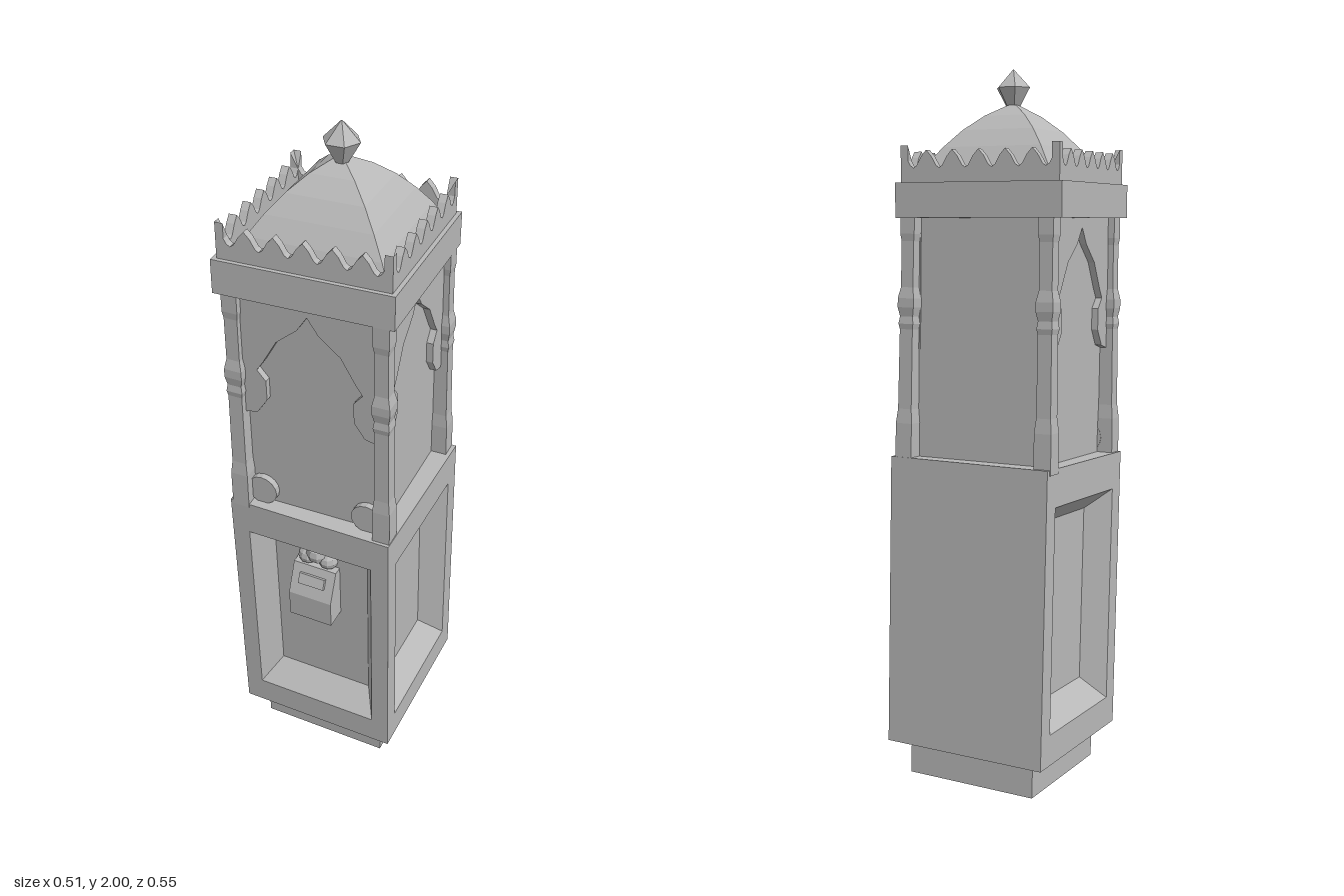
import * as THREE from 'three';

const stone = new THREE.MeshStandardMaterial({ color: 0xb8b8b8 });
stone.name = 'grey stone';

const points = list => list.map(p => new THREE.Vector2(...p));

// Faceted mesh with hard edges
function part(parent, name, geo, x = 0, y = 0, z = 0) {
  const flat = geo.index ? geo.toNonIndexed() : geo;
  flat.computeVertexNormals();
  const mesh = new THREE.Mesh(flat, stone);
  mesh.name = name;
  mesh.position.set(x, y, z);
  parent.add(mesh);
  return mesh;
}

function group(parent, name, x = 0, y = 0, z = 0) {
  const g = new THREE.Group();
  g.name = name;
  g.position.set(x, y, z);
  parent.add(g);
  return g;
}

// Skin between loops of points; the last loop (a quad) can be capped
function loft(loops, cap = false) {
  const pos = [];
  const quad = (a, b, c, d) => pos.push(...a, ...b, ...c, ...a, ...c, ...d);
  for (let k = 0; k + 1 < loops.length; k++) {
    const A = loops[k], B = loops[k + 1], n = A.length;
    for (let i = 0; i < n; i++) {
      const j = (i + 1) % n;
      quad(A[i], A[j], B[j], B[i]);
    }
  }
  if (cap) quad(...loops[loops.length - 1]);
  const geo = new THREE.BufferGeometry();
  geo.setAttribute('position', new THREE.Float32BufferAttribute(pos, 3));
  return geo;
}

// Square cross-section of half width r at height y
const squareRing = ([r, y]) => [[-r, y, r], [r, y, r], [r, y, -r], [-r, y, -r]];

function extrude(shape, depth) {
  return new THREE.ExtrudeGeometry(shape, { depth, bevelEnabled: false, curveSegments: 8 });
}

// Side of the cabinet: frame, sloping reveal and sunken panel
function panelledSide(half) {
  const rect = (w, y0, y1, z) => [[-w, y0, z], [w, y0, z], [w, y1, z], [-w, y1, z]];
  return loft([
    rect(half, 0.1, 0.92, half),
    rect(0.19, 0.187, 0.815, half),
    rect(0.147, 0.25, 0.758, half - 0.07),
  ], true);
}

function lowerCabinet(root) {
  const g = group(root, 'lowerCabinet', 0.01, 0.0085, -0.036);
  g.rotation.x = 0.043;
  const h = 0.243;
  part(g, 'plinth', new THREE.BoxGeometry(0.39, 0.12, 0.39), 0, 0.06, 0);
  for (const [name, turn] of [['frontPanel', 0], ['leftPanel', 1], ['rightPanel', -1]]) {
    part(g, name, panelledSide(h)).rotation.y = turn * Math.PI / 2;
  }
  const back = part(g, 'backBoard', new THREE.PlaneGeometry(2 * h, 0.82), 0, 0.51, -h);
  back.rotation.y = Math.PI;
  part(g, 'cabinetTop', new THREE.PlaneGeometry(2 * h, 2 * h), 0, 0.92, 0).rotation.x = -Math.PI / 2;
  part(g, 'cabinetUnderside', new THREE.PlaneGeometry(2 * h, 2 * h), 0, 0.1, 0).rotation.x = Math.PI / 2;

  // Coin box with a sloping top
  const box = group(g, 'coinBox', -0.008, 0, h - 0.07);
  const side = new THREE.Shape(points([[0, 0.535], [0, 0.71], [-0.025, 0.71], [-0.065, 0.62], [-0.065, 0.535]]));
  part(box, 'coinBoxBody', extrude(side, 0.134), -0.067, 0, 0).rotation.y = Math.PI / 2;
  const slot = part(box, 'slotPlate', new THREE.BoxGeometry(0.08, 0.032, 0.018), 0, 0.672, 0.044);
  slot.rotation.x = -Math.atan2(0.04, 0.09);
  // Shell crest above the box
  for (const [x, y, r] of [[-0.032, 0.732, 0.03], [0.032, 0.732, 0.03], [0, 0.75, 0.036]]) {
    part(box, 'shellLobe', new THREE.SphereGeometry(r, 10, 6), x, y, 0);
  }
}

// Pointed arch with cusps, spanning between two posts
function archShape() {
  const half = [[0.03, 0.6], [0.09, 0.55], [0.13, 0.48], [0.15, 0.45], [0.125, 0.42],
    [0.125, 0.36], [0.155, 0.315], [0.195, 0.305], [0.195, 0.68]];
  const left = half.map(([x, y]) => [-x, y]).reverse();
  return new THREE.Shape(points([...left, [0, 0.645], ...half]));
}

function upperStage(root) {
  const g = group(root, 'upperStage', 0.008, 0.925, 0.005);
  g.rotation.set(0.032, 0.025, 0);
  part(g, 'innerCore', new THREE.BoxGeometry(0.384, 0.69, 0.384), 0, 0.34, 0);

  // Square moulded corner posts: [half width, height]
  const post = [[0.025, -0.01], [0.025, 0.1], [0.021, 0.14], [0.02, 0.36], [0.023, 0.375], [0.02, 0.395],
    [0.025, 0.42], [0.025, 0.445], [0.019, 0.475], [0.019, 0.6], [0.022, 0.62], [0.022, 0.69]];
  for (const sx of [-1, 1]) for (const sz of [-1, 1]) {
    const mesh = part(g, 'cornerPost', loft(post.map(squareRing)), sx * 0.213, 0, sz * 0.213);
    mesh.rotation.set(-sz * 0.008, 0, sx * 0.008);
  }

  // Arches on the front and both flanks
  for (const turn of [0, 1, -1]) {
    const arch = part(g, 'arch', extrude(archShape(), 0.025));
    arch.rotation.y = turn * Math.PI / 2;
    arch.position.set(turn * 0.186, 0, turn ? 0 : 0.186);
  }
  // Round lobes at the feet of the front arch
  for (const s of [-1, 1]) {
    const disc = new THREE.Shape().absarc(0, 0, 0.045, 0, Math.PI * 2);
    part(g, 'footLobe', extrude(disc, 0.025), s * 0.158, 0.042, 0.186);
  }
}

// Row of pointed leaves that meet at the corners
function crestShape(half, count) {
  const step = 2 * half / count;
  const outline = [[-half, 0], [half, 0], [half, 0.1]];
  for (let i = 0; i < count; i++) {
    const x = half - i * step;
    for (const [f, y] of [[0.2, 0.07], [0.38, 0.046], [0.5, 0.04], [0.62, 0.046], [0.8, 0.07]]) {
      outline.push([x - f * step, y]);
    }
    outline.push([x - step, i === count - 1 ? 0.1 : 0.087]);
  }
  return new THREE.Shape(points(outline));
}

function roof(root) {
  const g = group(root, 'roof', 0, 0, 0.02);
  g.rotation.y = 0.055;
  part(g, 'cornice', new THREE.BoxGeometry(0.488, 0.094, 0.488), 0, 1.642, 0);

  for (let i = 0; i < 4; i++) {
    const side = group(g, 'cresting');
    side.rotation.y = i * Math.PI / 2;
    part(side, 'crestRow', extrude(crestShape(0.232, 6), 0.022), 0, 1.687, 0.21);
  }

  // Gently bowed pyramid: [half width, height]
  const dome = [[0.207, 1.685], [0.18, 1.735], [0.145, 1.785], [0.105, 1.832], [0.06, 1.872], [0.012, 1.902]];
  part(g, 'domeRoof', loft(dome.map(squareRing), true), 0.004, 0, 0);

  // Faceted finial
  const gem = points([[0.018, 1.895], [0.05, 1.95], [0.001, 2]]);
  part(g, 'finial', new THREE.LatheGeometry(gem, 6), 0.01, 0, 0.012).rotation.y = Math.PI / 6;
}

export function createModel() {
  const root = new THREE.Group();
  root.name = 'shrineTower';
  lowerCabinet(root);
  upperStage(root);
  roof(root);
  return root;
}
